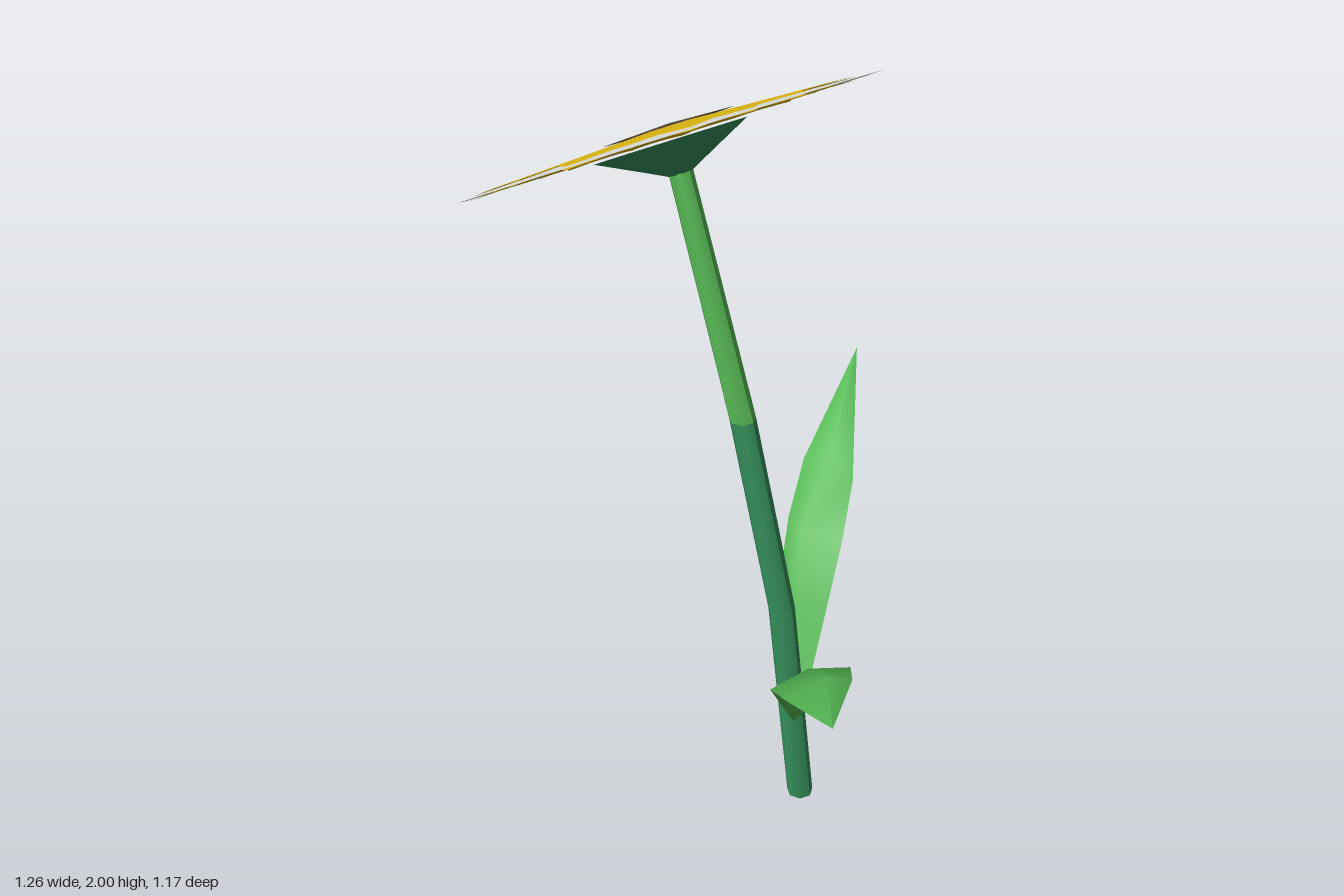
import * as THREE from 'three';

const mat = (name, color) => {
  const m = new THREE.MeshStandardMaterial({ color, side: THREE.DoubleSide });
  m.name = name;
  return m;
};

// Smooth surface through rows of points
function loft(rows) {
  const n = rows[0].length, index = [];
  for (let i = 0; i < rows.length - 1; i++) {
    for (let j = 0; j < n - 1; j++) {
      const a = i * n + j, b = a + 1, c = a + n, d = c + 1;
      index.push(a, b, d, a, d, c);
    }
  }
  return surface(rows.flat(2), index);
}

function surface(positions, index) {
  const g = new THREE.BufferGeometry();
  g.setAttribute('position', new THREE.Float32BufferAttribute(positions, 3));
  g.setIndex(index);
  g.computeVertexNormals();
  return g;
}

// Flower head: a shallow cone on a tilted plane
const HEAD = { x: -0.2, y: 1.765, z: 0.1, radius: 0.487, bulge: 0.025 };
const NORMAL = new THREE.Vector3(-0.548, 1, -0.145).normalize();

function headHeight(x, z) {
  const dx = x - HEAD.x, dz = z - HEAD.z, tilt = 0.548 * dx + 0.145 * dz;
  const r = Math.hypot(dx, dz, tilt);
  return HEAD.y + tilt + HEAD.bulge * Math.max(0, 1 - r / HEAD.radius);
}

// Fan from the head's centre to an outline of [x, z] points
function headFan(outline, offset) {
  const pts = [[HEAD.x, HEAD.z], ...outline];
  const positions = pts.flatMap(([x, z]) => [x, headHeight(x, z) + offset, z]);
  const index = [], n = outline.length;
  for (let i = 0; i < n; i++) index.push(0, 1 + (i + 1) % n, 1 + i);
  return surface(positions, index);
}

// Horizontal stem ring
function ring([x, y, z, r], sides = 7) {
  return Array.from({ length: sides + 1 }, (_, i) => {
    const a = -i / sides * Math.PI * 2;
    return [x + r * Math.cos(a), y, z + r * Math.sin(a)];
  });
}

export function createModel() {
  const group = new THREE.Group();
  const add = (name, geometry, material) => {
    const mesh = new THREE.Mesh(geometry, material);
    mesh.name = name;
    group.add(mesh);
    return mesh;
  };
  const darkGreen = mat('stem green', 0x36915c);
  const lightGreen = mat('leaf green', 0x58bb56);
  const yellow = mat('petal yellow', 0xe8c110);
  const brown = mat('seed brown', 0x584638);
  const white = mat('disc white', 0xececec);

  // Stem in two greens
  const low = [0.125, 0.005, 0.035, 0.033], bend = [0.087, 0.59, 0.065, 0.033];
  const joint = [-0.01, 1.11, 0.09, 0.032], top = [-0.168, 1.715, 0.109, 0.029];
  add('lowerStem', loft([low, bend, joint].map(p => ring(p))), darkGreen);
  add('upperStem', loft([joint, top].map(p => ring(p))), lightGreen);
  const cap = add('stemBase', new THREE.CircleGeometry(0.033, 7).rotateX(Math.PI / 2), darkGreen);
  cap.position.set(low[0], low[1], low[2]);

  // Cup under the flower
  const cup = add('flowerCup', new THREE.LatheGeometry(
    [[0.02, -0.085], [0.09, -0.05], [0.175, -0.008]].map(p => new THREE.Vector2(...p)), 16), darkGreen);
  cup.position.set(HEAD.x, HEAD.y, HEAD.z);
  cup.quaternion.setFromUnitVectors(new THREE.Vector3(0, 1, 0), NORMAL);

  // Twelve-sided disc
  const disc = [
    [-0.22, -0.385], [0, -0.345], [0.165, -0.185], [0.225, 0.045], [0.18, 0.295], [0.025, 0.49],
    [-0.19, 0.58], [-0.405, 0.54], [-0.565, 0.38], [-0.63, 0.15], [-0.58, -0.1], [-0.43, -0.295]];
  add('flowerDisc', headFan(disc, 0), white);

  // Petals: alternating tips and notches, painted on both faces
  const petals = [
    [-0.225, -0.362], [-0.175, -0.3], [-0.12, -0.322], [-0.08, -0.28], [-0.01, -0.325], [0, -0.16],
    [0.077, -0.21], [0.077, -0.118], [0.168, -0.14], [0.1, -0.05], [0.165, -0.02], [0.12, 0.05],
    [0.207, 0.14], [0.128, 0.2], [0.168, 0.26], [0.08, 0.285], [0.105, 0.385], [0, 0.365],
    [-0.015, 0.43], [-0.05, 0.44], [-0.08, 0.55], [-0.21, 0.437], [-0.27, 0.532], [-0.306, 0.475],
    [-0.377, 0.542], [-0.407, 0.41], [-0.478, 0.427], [-0.485, 0.365], [-0.565, 0.36], [-0.505, 0.26],
    [-0.565, 0.22], [-0.53, 0.155], [-0.585, 0.125], [-0.535, 0.07], [-0.6, 0.01], [-0.5, -0.03],
    [-0.52, -0.128], [-0.46, -0.14], [-0.46, -0.25], [-0.4, -0.22], [-0.335, -0.293], [-0.275, -0.28]];
  add('petalsTop', headFan(petals, 0.004), yellow);
  add('petalsUnderside', headFan(petals, -0.004), yellow);

  // Seed centre
  const seeds = Array.from({ length: 28 }, (_, i) => {
    const a = i / 28 * Math.PI * 2;
    return [-0.203 + 0.135 * Math.cos(a), 0.098 + 0.152 * Math.sin(a)];
  });
  add('seedCentre', headFan(seeds, 0.008), brown);

  // Leaves: rows of edge, midrib, edge from base to tip
  const leaf = (name, base, sections, tip) =>
    add(name, loft([[base, base, base], ...sections, [tip, tip, tip]]), lightGreen);
  leaf('leftLeaf', [0.13, 0.26, 0.07], [
    [[0.245, 0.58, 0.31], [0.29, 0.61, 0.225], [0.36, 0.605, 0.155]],
    [[0.415, 0.735, 0.465], [0.475, 0.79, 0.4], [0.505, 0.768, 0.35]],
  ], [0.628, 0.855, 0.588]);
  leaf('backLeaf', [0.095, 0.16, 0.01], [
    [[-0.07, 0.48, -0.125], [0.01, 0.48, -0.08], [0.085, 0.49, -0.125]],
    [[-0.11, 0.62, -0.215], [-0.03, 0.64, -0.17], [0.06, 0.62, -0.215]],
    [[-0.135, 0.74, -0.31], [-0.06, 0.8, -0.335], [0.02, 0.735, -0.31]],
  ], [-0.176, 0.925, -0.587]);

  return group;
}
